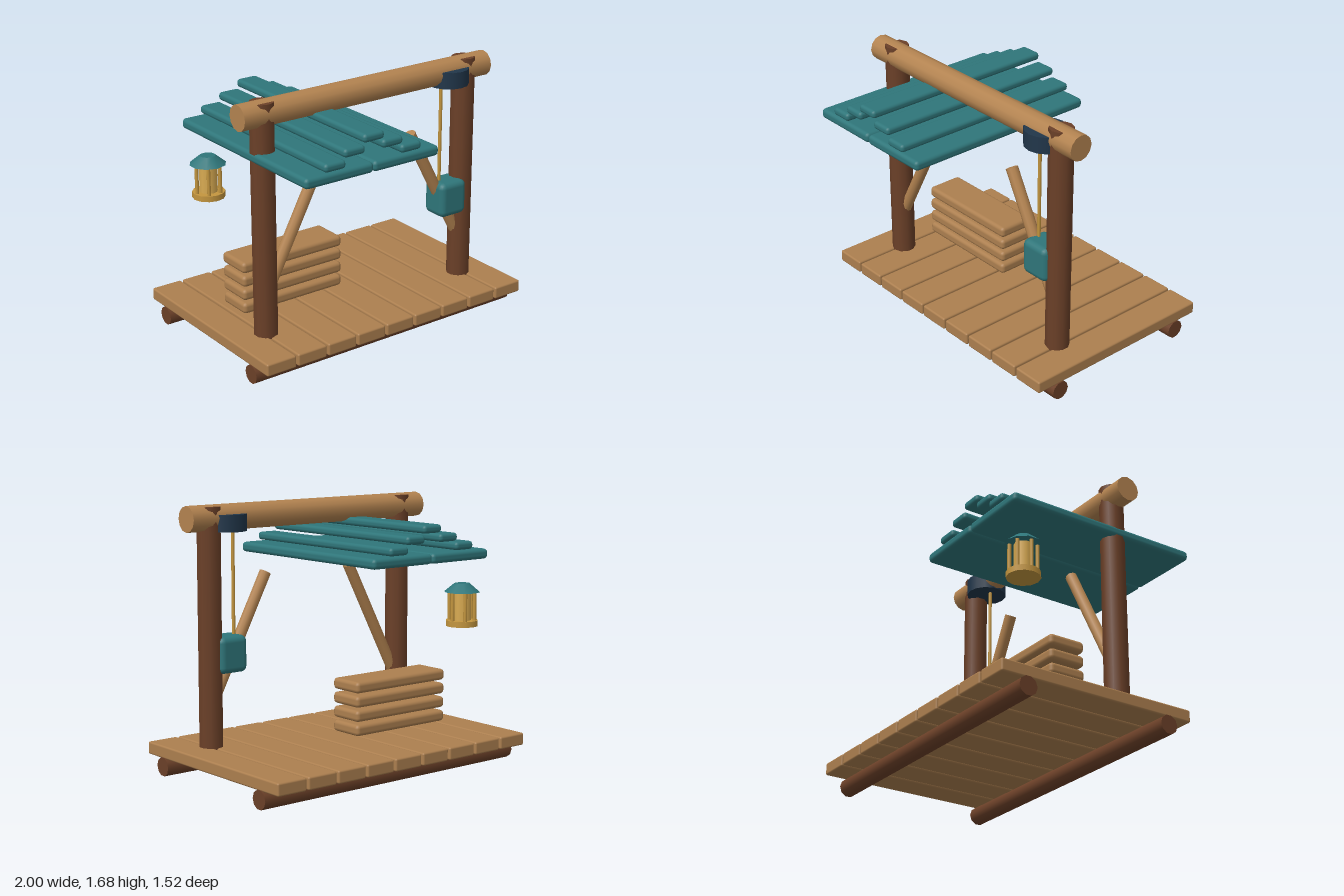
import * as THREE from 'three';
import { RoundedBoxGeometry } from 'three/addons/geometries/RoundedBoxGeometry.js';

const mat = (color) => new THREE.MeshStandardMaterial({ color });

export function createModel() {
  const model = new THREE.Group();
  const bark = mat(0x6b4028), tan = mat(0xb38350), plank = mat(0xac7f4f);
  const teal = mat(0x2f767a), navy = mat(0x21364a), gold = mat(0xc4963f), glow = mat(0xd9ab52);

  const add = (name, geometry, material, x, y, z, parent = model) => {
    const mesh = new THREE.Mesh(geometry, material);
    mesh.name = name;
    mesh.position.set(x, y, z);
    parent.add(mesh);
    return mesh;
  };
  const box = (name, material, size, pos, radius) =>
    add(name, new RoundedBoxGeometry(...size, 2, radius), material, ...pos);
  const pole = (r, length, sides) => new THREE.CylinderGeometry(r, r, length, sides);

  const frameZ = 0.213;

  // Deck: nine planks on two logs
  for (let i = 0; i < 9; i++) {
    box('deckPlank', plank, [0.209, 0.08, 1.33], [(i - 4) * 0.2225, 0.15, -0.095], 0.012);
  }
  for (const z of [0.4, -0.588]) {
    add('deckLog', pole(0.06, 2, 10), bark, 0, 0.06, z).rotation.z = Math.PI / 2;
  }

  // Frame: posts, cross beam and slanted braces
  for (const side of [-1, 1]) {
    add('post', pole(0.076, 1.49, 10), bark, side * 0.763, 0.925, frameZ);
    const top = new THREE.Vector2(0.338, 1.24), foot = new THREE.Vector2(0.735, 0.49);
    const mid = top.clone().add(foot).multiplyScalar(0.5);
    const brace = add('brace', pole(0.038, top.distanceTo(foot), 10), tan, side * mid.x, mid.y, frameZ);
    brace.rotation.z = side * Math.atan2(foot.x - top.x, top.y - foot.y);
  }
  add('crossBeam', pole(0.081, 1.855, 12), tan, -0.002, 1.6, frameZ).rotation.z = Math.PI / 2;

  // Stepped roof: two wide panels, then narrow boards closing toward the ridge
  const roofX = -0.36, roofZ = 0.095, roofLength = 1.33;
  for (const side of [-1, 1]) {
    box('roofPanel', teal, [0.48, 0.065, roofLength], [roofX + side * 0.24, 1.338, roofZ], 0.025);
    [[0.272, 1.402], [0.136, 1.462]].forEach(([dx, y]) =>
      box('roofBoard', teal, [0.148, 0.052, roofLength], [roofX + side * dx, y, roofZ], 0.022));
  }
  box('roofRidge', teal, [0.148, 0.052, roofLength], [roofX, 1.522, roofZ], 0.022);

  // Pulley drum, rope and hanging bucket
  add('pulley', pole(0.132, 0.105, 14), navy, 0.636, 1.568, frameZ + 0.003);
  add('rope', pole(0.011, 0.68, 8), gold, 0.585, 1.19, frameZ);
  box('bucket', teal, [0.208, 0.232, 0.186], [0.64, 0.759, frameZ + 0.003], 0.04);

  // Stack of boards on the deck
  for (let i = 0; i < 4; i++) {
    box('stackedBoard', plank, [0.75, 0.073, 0.245], [-0.39, 0.252 + i * 0.091, -0.143], 0.025);
  }

  // Lantern: base, core, ring of bars and cap
  const lantern = new THREE.Group();
  lantern.name = 'lantern';
  lantern.position.set(-0.74, 0.872, -0.438);
  model.add(lantern);
  add('lanternBase', pole(0.104, 0.037, 12), gold, 0, 0.018, 0, lantern);
  add('lanternCore', pole(0.058, 0.19, 10), glow, 0, 0.125, 0, lantern);
  for (let i = 0; i < 6; i++) {
    const a = (i * Math.PI) / 3;
    add('lanternBar', pole(0.012, 0.19, 8), gold, 0.083 * Math.cos(a), 0.125, 0.083 * Math.sin(a), lantern);
  }
  add('lanternCap', new THREE.CylinderGeometry(0.05, 0.116, 0.055, 10), teal, 0, 0.245, 0, lantern);

  return model;
}
